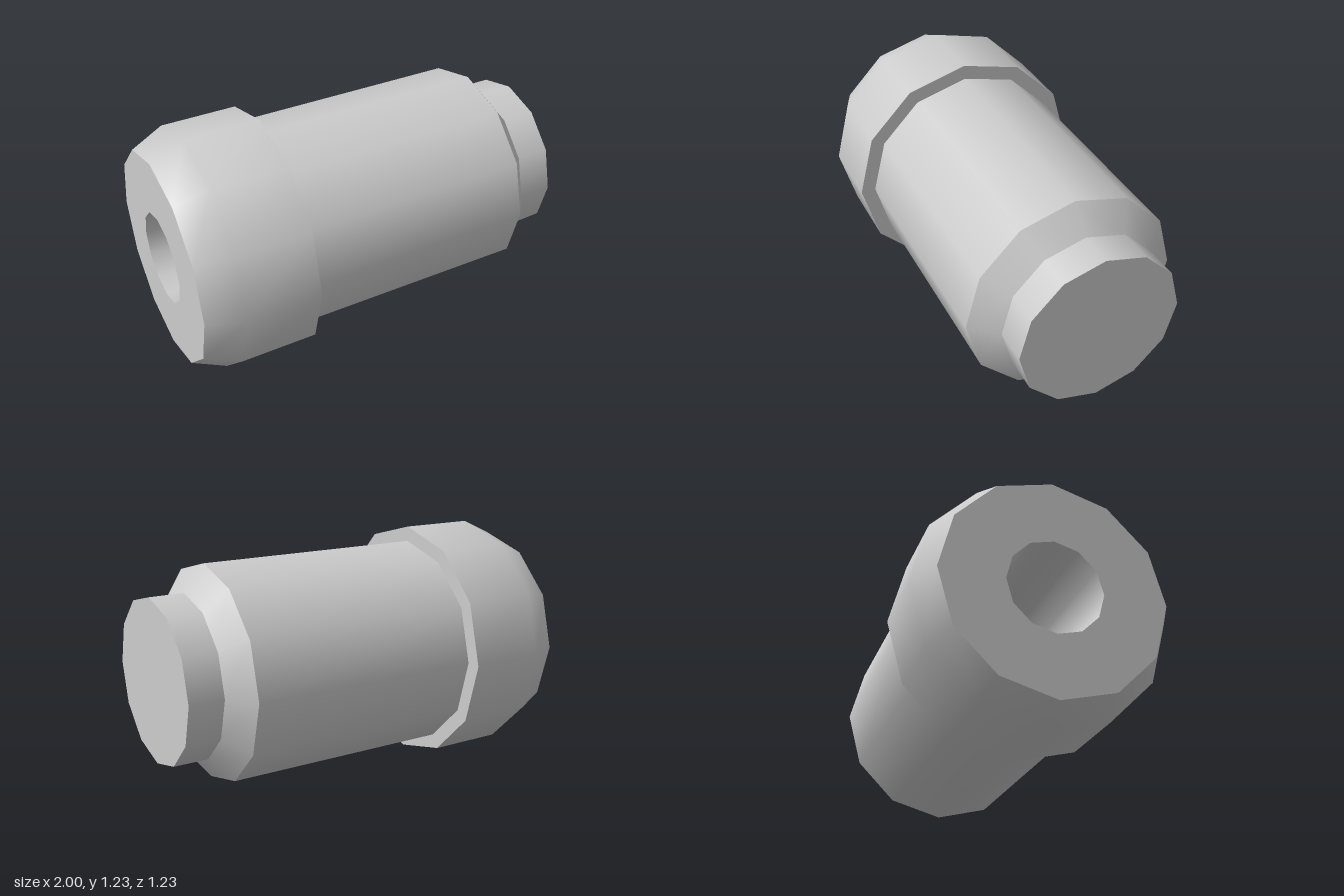
import * as THREE from 'three';

const SIDES = 12;
const AXIS_HEIGHT = 0.613;

export function createModel() {
  const group = new THREE.Group();
  group.name = 'steppedPlug';
  const grey = new THREE.MeshStandardMaterial({ color: 0xcccccc });
  grey.name = 'plain grey';

  // Each part is a turned surface along x; profile points are [radius, x].
  // Separate parts keep hard edges between them, smooth shading within.
  const parts = {
    boreFloor: [[0, 0.6], [0.23, 0.6]],
    boreWall: [[0.23, 0.6], [0.23, -1]],
    collarEnd: [[0.23, -1], [0.537, -1]],
    collar: [[0.537, -1], [0.613, -0.835], [0.613, -0.453]],
    collarShoulder: [[0.613, -0.453], [0.537, -0.453]],
    body: [[0.537, -0.453], [0.537, 0.722]],
    bodyChamfer: [[0.537, 0.722], [0.408, 0.826]],
    neck: [[0.408, 0.826], [0.408, 1]],
    neckEnd: [[0.408, 1], [0, 1]],
  };

  for (const [name, profile] of Object.entries(parts)) {
    const points = profile.map(([r, x]) => new THREE.Vector2(r, x));
    const geometry = new THREE.LatheGeometry(points, SIDES);
    geometry.rotateZ(-Math.PI / 2); // turn the lathe axis onto +x
    const mesh = new THREE.Mesh(geometry, grey);
    mesh.name = name;
    mesh.position.y = AXIS_HEIGHT;
    group.add(mesh);
  }
  return group;
}
